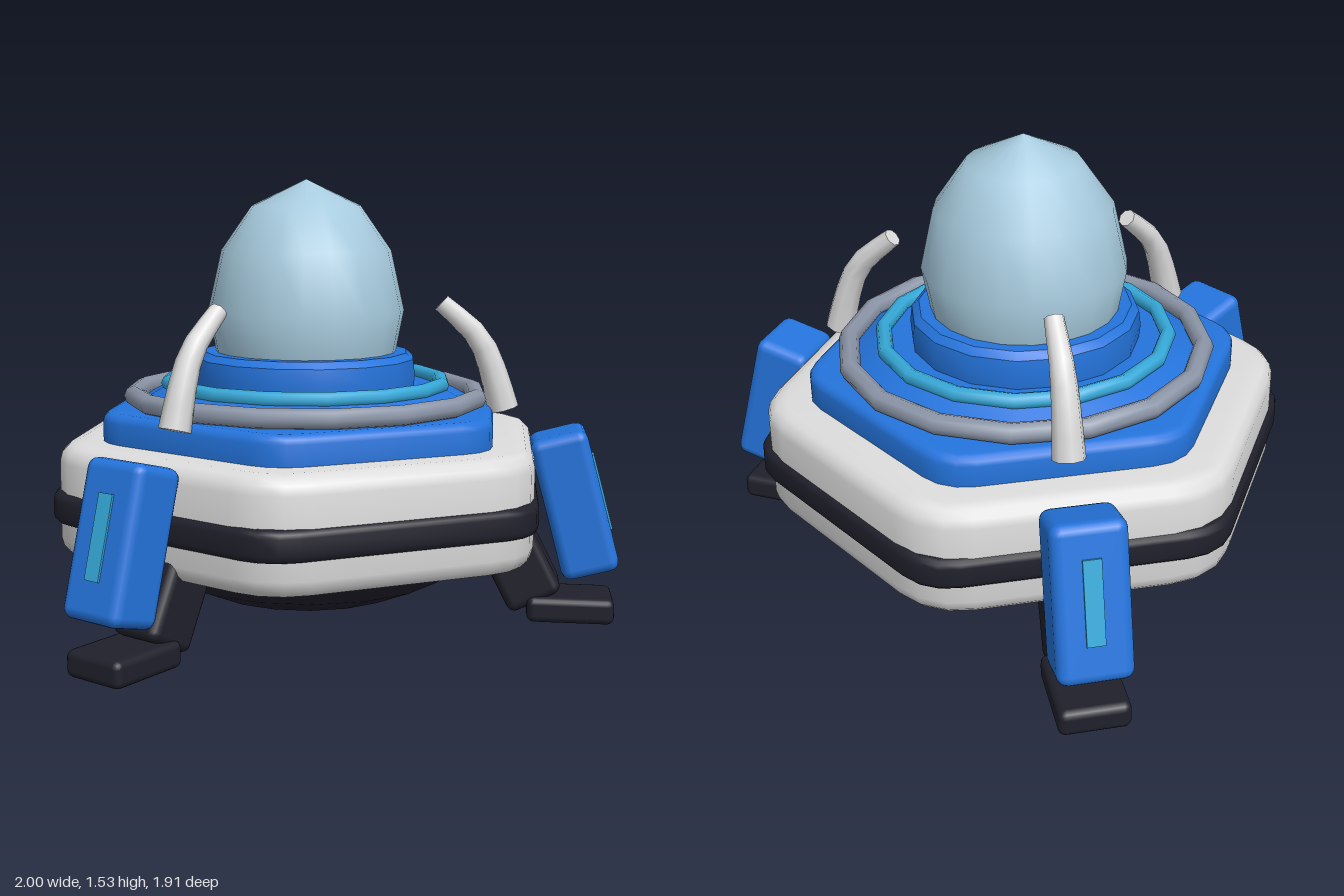
import * as THREE from 'three';
import { toCreasedNormals } from 'three/addons/utils/BufferGeometryUtils.js';
import { RoundedBoxGeometry } from 'three/addons/geometries/RoundedBoxGeometry.js';

const paint = (name, color) => {
  const m = new THREE.MeshStandardMaterial({ color });
  m.name = name;
  return m;
};

// Hexagonal slab with rounded corners and edges, points on +x and -x
function hexSlab(apothem, y0, y1, bevel, cut) {
  const R = (apothem - bevel) / Math.cos(Math.PI / 6);
  const corner = i => new THREE.Vector2(R * Math.cos(i * Math.PI / 3), R * Math.sin(i * Math.PI / 3));
  const shape = new THREE.Shape();
  for (let i = 0; i < 6; i++) {
    const c = corner(i);
    const a = c.clone().lerp(corner(i + 5), cut / R);
    const b = c.clone().lerp(corner(i + 1), cut / R);
    if (i === 0) shape.moveTo(a.x, a.y);
    else shape.lineTo(a.x, a.y);
    shape.quadraticCurveTo(c.x, c.y, b.x, b.y);
  }
  shape.closePath();
  const g = new THREE.ExtrudeGeometry(shape, {
    depth: y1 - y0 - 2 * bevel, bevelEnabled: true, bevelSize: bevel,
    bevelThickness: bevel, bevelSegments: 3, curveSegments: 3,
  });
  g.rotateX(-Math.PI / 2).translate(0, y0 + bevel, 0);
  return toCreasedNormals(g, 0.7);
}

// Turned part from [radius, height] pairs, listed from bottom to top
function turned(points, sides, crease) {
  const g = new THREE.LatheGeometry(points.map(p => new THREE.Vector2(...p)), sides);
  return crease ? toCreasedNormals(g, crease) : g;
}

// Bent prong that narrows towards its tip; path in the y-z plane
function prongGeometry() {
  const path = new THREE.CurvePath();
  const pts = [[0.74, 0.695], [0.88, 0.655], [0.99, 0.605], [1.11, 0.475]].map(p => new THREE.Vector3(0, p[0], p[1]));
  const curve = new THREE.CatmullRomCurve3(pts);
  const rings = 6, sides = 8;
  const g = new THREE.TubeGeometry(curve, rings, 1, sides);
  const pos = g.attributes.position, v = new THREE.Vector3();
  for (let i = 0; i < pos.count; i++) {
    const t = Math.floor(i / (sides + 1)) / rings;
    const centre = curve.getPointAt(t);
    v.fromBufferAttribute(pos, i).sub(centre).multiplyScalar(0.054 - 0.022 * t).add(centre);
    pos.setXYZ(i, v.x, v.y, v.z);
  }
  return { geometry: g, curve };
}

export function createModel() {
  const white = paint('white shell', 0xdcdcdc);
  const dark = paint('dark rubber', 0x20202c);
  const blue = paint('blue panel', 0x2474dc);
  const cyan = paint('cyan light', 0x36a9d9);
  const grey = paint('grey metal', 0x8c96a8);
  const glass = paint('pale glass', 0xa6cadd);

  const root = new THREE.Group();
  root.name = 'hexagonalSaucer';
  const craft = new THREE.Group();
  craft.name = 'craft';
  craft.position.z = -0.15;
  root.add(craft);

  const add = (name, geometry, material, parent = craft) => {
    const m = new THREE.Mesh(geometry, material);
    m.name = name;
    parent.add(m);
    return m;
  };

  // Hull stack
  add('hull', hexSlab(0.8, 0.27, 0.655, 0.06, 0.12), white);
  add('bumperBand', hexSlab(0.815, 0.39, 0.495, 0.025, 0.1), dark);
  add('deck', hexSlab(0.66, 0.6, 0.755, 0.03, 0.09), blue);
  add('underbelly', turned([[0, 0.09], [0.36, 0.09], [0.51, 0.155], [0.59, 0.22], [0.635, 0.29]], 18, 0.5), dark);

  // Rings around the dome
  const ring = (name, radius, tube, y, mat) => {
    const g = new THREE.TorusGeometry(radius, tube, 8, 16);
    g.rotateX(Math.PI / 2);
    add(name, g, mat).position.y = y;
  };
  add('ringSeat', turned([[0.6, 0.74], [0.59, 0.765], [0.5, 0.815], [0, 0.815]], 16, 0.4), blue);
  ring('outerRing', 0.607, 0.035, 0.785, grey);
  ring('lightRing', 0.485, 0.027, 0.828, cyan);

  // Collar and dome
  add('collar', turned([[0.385, 0.8], [0.392, 0.86], [0.385, 0.915], [0.36, 0.937], [0.3, 0.937]], 16, 0.6), blue);
  add('dome', turned([[0.3, 0.88], [0.318, 0.936], [0.345, 1.08], [0.298, 1.289], [0.19, 1.444], [0, 1.535]], 20), glass);

  // Three identical sets of leg and prong
  const prong = prongGeometry();
  for (let i = 0; i < 3; i++) {
    const arm = new THREE.Group();
    arm.name = ['frontLeg', 'leftLeg', 'rightLeg'][i];
    arm.rotation.y = i * Math.PI * 2 / 3;
    craft.add(arm);

    const strut = add('strut', new RoundedBoxGeometry(0.19, 0.46, 0.2, 2, 0.03), dark, arm);
    strut.position.set(0, 0.275, 0.72);
    strut.rotation.x = -0.47;

    const foot = add('foot', new RoundedBoxGeometry(0.23, 0.09, 0.3, 2, 0.025), dark, arm);
    foot.position.set(0, 0.05, 0.94);

    // Tilted guard with its light strip
    const guard = new THREE.Group();
    guard.name = 'legGuard';
    guard.position.set(0, 0.422, 0.945);
    guard.rotation.x = -0.265;
    arm.add(guard);
    add('guardShell', new RoundedBoxGeometry(0.24, 0.505, 0.2, 2, 0.035), blue, guard);
    add('guardLight', new THREE.BoxGeometry(0.058, 0.27, 0.009), cyan, guard).position.set(0, 0.01, 0.103);

    // Prong with end caps
    add('prong', prong.geometry, white, arm);
    [[0, 0.054, -1], [1, 0.032, 1]].forEach(([t, r, dir]) => {
      const cap = add('prongCap', new THREE.CircleGeometry(r, 8), white, arm);
      cap.position.copy(prong.curve.getPointAt(t));
      cap.quaternion.setFromUnitVectors(new THREE.Vector3(0, 0, 1), prong.curve.getTangentAt(t).multiplyScalar(dir));
    });
  }
  return root;
}
